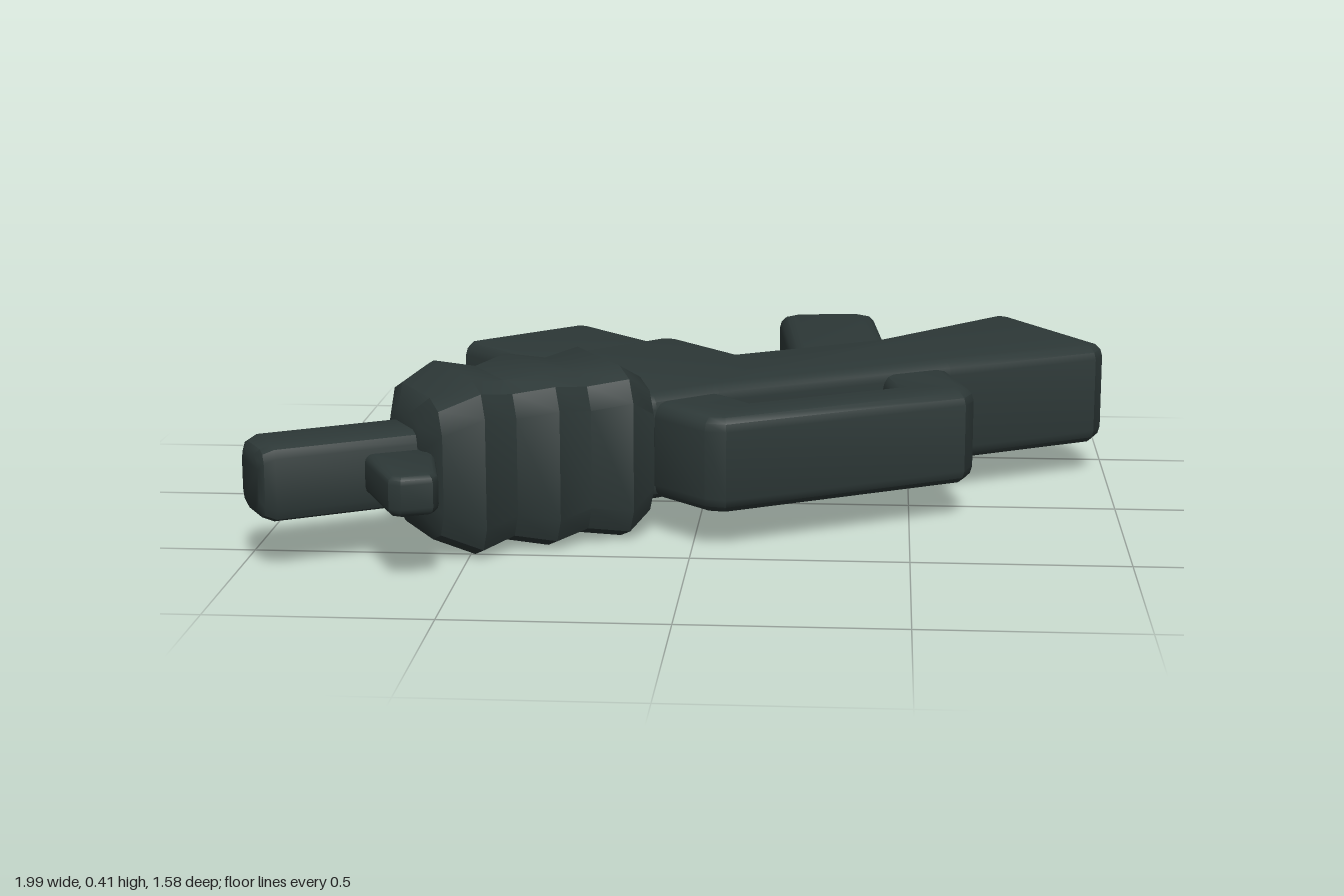
import * as THREE from 'three';
import { toCreasedNormals } from 'three/addons/utils/BufferGeometryUtils.js';

const MID = 0.203; // height of the centre plane
const path = (pts, Type) => new Type(pts.map(([x, z]) => new THREE.Vector2(x, -z)));

// Flat slab from a plan outline of [x, z] points, lying between two heights, with rounded edges
function slab(outline, bottom, top, bevel, hole) {
  const shape = path(outline, THREE.Shape);
  if (hole) shape.holes.push(path(hole, THREE.Path));
  const geo = new THREE.ExtrudeGeometry(shape, {
    depth: top - bottom - 2 * bevel, bevelThickness: bevel, bevelSize: bevel,
    bevelOffset: -bevel, bevelSegments: 3,
  });
  geo.rotateX(-Math.PI / 2).translate(0, bottom + bevel, 0);
  return toCreasedNormals(geo, 0.6);
}

// Rounded-square rings [along, halfWidth, halfHeight] joined along local x
function loft(rings, corner) {
  const pos = [], index = [], per = 12;
  for (const [x, w, h] of rings) {
    for (let q = 0; q < 4; q++) {
      const sz = q === 0 || q === 3 ? 1 : -1, sy = q < 2 ? 1 : -1;
      for (let k = 0; k < 3; k++) {
        const a = q * Math.PI / 2 + k * Math.PI / 4;
        pos.push(x, sy * (h - corner) + corner * Math.sin(a), sz * (w - corner) + corner * Math.cos(a));
      }
    }
  }
  const last = rings.length - 1;
  for (let r = 0; r < last; r++) {
    for (let i = 0; i < per; i++) {
      const a = r * per + i, b = r * per + (i + 1) % per;
      index.push(a, a + per, b, b, a + per, b + per);
    }
  }
  // end caps
  for (let i = 1; i < per - 1; i++) {
    index.push(0, i, i + 1);
    index.push(last * per, last * per + i + 1, last * per + i);
  }
  // keep faces pointing outward
  for (let i = 0; i < index.length; i += 3) [index[i + 1], index[i + 2]] = [index[i + 2], index[i + 1]];
  const geo = new THREE.BufferGeometry();
  geo.setAttribute('position', new THREE.Float32BufferAttribute(pos, 3));
  geo.setIndex(fixWinding(geo, pos, index));
  return toCreasedNormals(geo, 0.6);
}

// Flip all triangles if the enclosed volume comes out negative
function fixWinding(geo, pos, index) {
  const v = i => new THREE.Vector3().fromArray(pos, i * 3);
  let volume = 0;
  for (let i = 0; i < index.length; i += 3) {
    volume += v(index[i]).dot(v(index[i + 1]).cross(v(index[i + 2])));
  }
  return volume < 0 ? index.slice().reverse() : index;
}

export function createModel() {
  const group = new THREE.Group();
  group.name = 'toyRifle';
  const darkPlastic = new THREE.MeshStandardMaterial({ color: 0x2d3837 });
  darkPlastic.name = 'darkPlastic';
  const add = (name, geo, parent = group) => {
    const mesh = new THREE.Mesh(geo, darkPlastic);
    mesh.name = name;
    parent.add(mesh);
  };

  // Receiver with magazine well and shoulder stock
  add('receiverAndStock', slab([
    [-0.12, 0.31], [-0.09, 0.30], [0.05, 0.185], [0.60, -0.13], [0.97, -0.345], [0.99, -0.40],
    [0.775, -0.76], [0.73, -0.775], [0.41, -0.42], [0.20, -0.295], [0.07, -0.22],
    [-0.09, -0.40], [-0.14, -0.41], [-0.44, -0.12], [-0.44, -0.07], [-0.30, 0.10],
  ], 0.078, 0.333, 0.035));

  // Pistol grip
  add('grip', slab([
    [0.22, -0.20], [0.20, -0.29], [0.155, -0.73], [0.19, -0.77], [0.37, -0.79],
    [0.41, -0.755], [0.44, -0.42], [0.40, -0.25],
  ], 0.08, 0.33, 0.035));

  // Carrying handle with its opening
  add('carryHandle', slab([
    [-0.12, 0.26], [-0.09, 0.31], [0.03, 0.43], [0.08, 0.44], [0.63, 0.125], [0.65, 0.07],
    [0.60, -0.13], [0.54, -0.19], [0.0, 0.12],
  ], 0.085, 0.315, 0.035, [[0.06, 0.17], [0.43, -0.05], [0.455, 0.065], [0.13, 0.245]]));

  // Magazine
  add('magazine', slab([
    [-0.39, -0.625], [-0.345, -0.625], [-0.10, -0.36], [-0.38, -0.09], [-0.64, -0.36], [-0.64, -0.395],
  ], 0.09, 0.32, 0.035));

  // Front sight post
  add('frontSight', slab([
    [-0.73, 0.57], [-0.635, 0.775], [-0.605, 0.787], [-0.54, 0.755], [-0.533, 0.725], [-0.58, 0.50],
  ], 0.158, 0.252, 0.02));

  // Handguard and barrel share one slanted axis
  const front = new THREE.Group();
  front.name = 'frontAssembly';
  front.position.set(-0.40, MID, 0.305);
  front.rotation.y = Math.PI / 6;
  group.add(front);

  // Ribbed handguard
  add('handguard', loft([
    [-0.295, 0.11, 0.12], [-0.265, 0.165, 0.165], [-0.175, 0.198, 0.203], [-0.085, 0.163, 0.188],
    [0.005, 0.20, 0.203], [0.095, 0.172, 0.19], [0.19, 0.197, 0.203], [0.255, 0.168, 0.165],
    [0.283, 0.115, 0.12],
  ], 0.075), front);

  // Square barrel with a softened muzzle
  add('barrel', loft([
    [-0.66, 0.06, 0.063], [-0.65, 0.075, 0.078], [-0.625, 0.084, 0.088], [-0.2, 0.084, 0.088],
  ], 0.028), front);

  return group;
}
